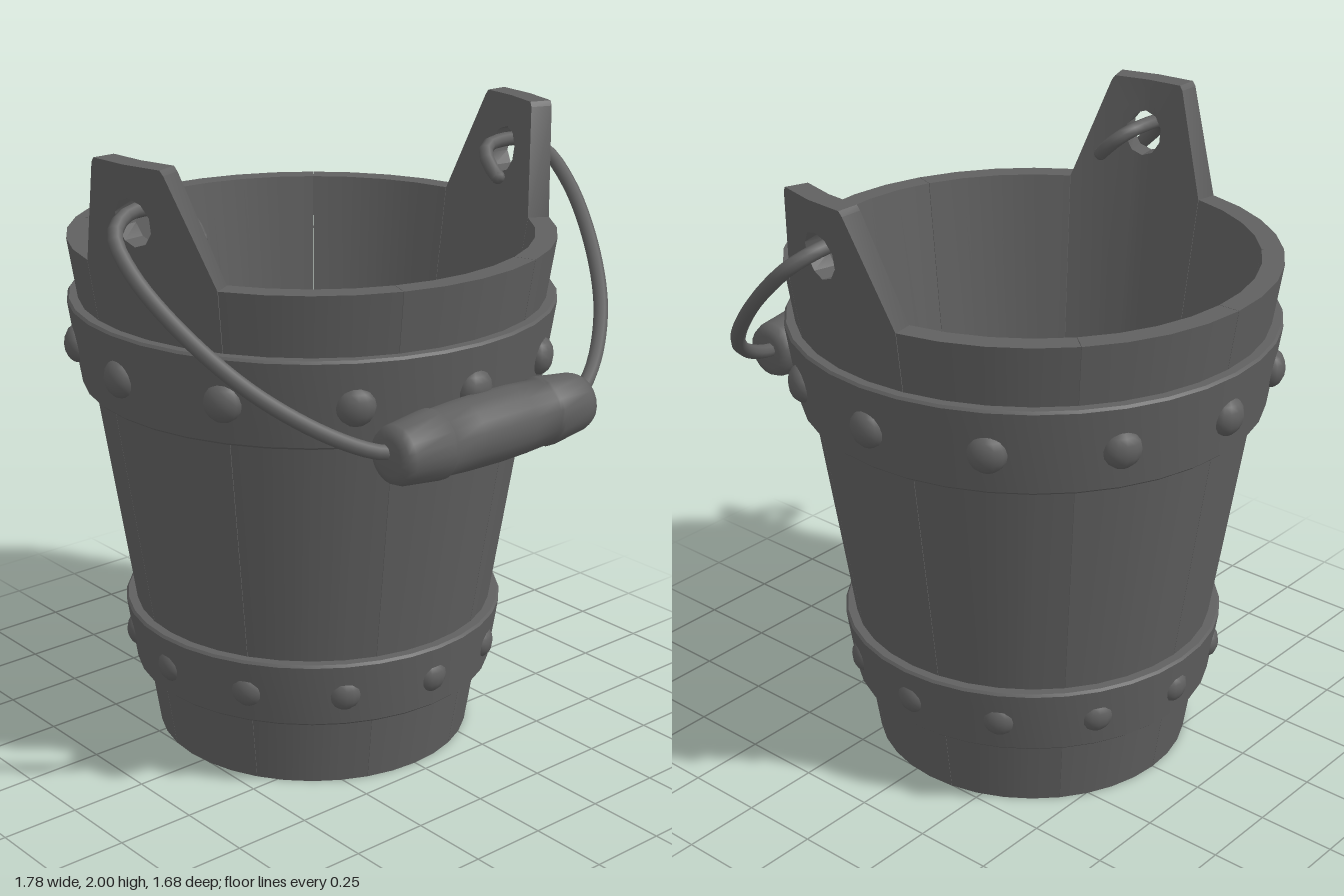
import * as THREE from 'three';
import { mergeGeometries, toCreasedNormals } from 'three/addons/utils/BufferGeometryUtils.js';

const CENTRE_Z = -0.06;
const RIM = 1.66;
const STEP = Math.PI / 18; // one flat facet, a quarter of a stave
const outerRadius = (y) => 0.51 + 0.1506 * y;
const material = new THREE.MeshStandardMaterial({ color: 0x606060 });

function addMesh(parent, name, geometry, crease = 0.6) {
  const mesh = new THREE.Mesh(toCreasedNormals(geometry, crease), material);
  mesh.name = name;
  parent.add(mesh);
  return mesh;
}

// One facet drawn as (angle, height), then wrapped onto the tapered wall
function facet(points, side, middle) {
  const shape = new THREE.Shape(points.map(([u, y]) => new THREE.Vector2(u * side, y)));
  const geometry = new THREE.ExtrudeGeometry(shape, { depth: 1, bevelEnabled: false });
  const pos = geometry.attributes.position;
  for (let i = 0; i < pos.count; i++) {
    const u = pos.getX(i), y = pos.getY(i);
    const thickness = 0.055 + 0.008 * y;
    const flat = Math.cos(STEP / 2) / Math.cos(Math.abs(u) - middle);
    const r = (outerRadius(y) - thickness * (1 - pos.getZ(i))) * flat;
    pos.setXYZ(i, Math.sin(u) * r, y, Math.cos(u) * r);
  }
  return geometry;
}

// Four facets; an ear stave rises to a pierced lug
function staveGeometry(hasEar) {
  const edge = 2 * STEP - 0.001;
  const earSide = 1.985;
  const inner = [[0, 0], [STEP, 0]];
  if (hasEar) {
    inner.push([STEP, earSide], [0.16, 2], [0, 2]);
    for (let i = 0; i <= 5; i++) {
      const a = Math.PI / 2 - (i * Math.PI) / 5;
      inner.push([Math.cos(a) * 0.09, 1.828 + Math.sin(a) * 0.073]);
    }
  } else {
    inner.push([STEP, RIM], [0, RIM]);
  }
  const outer = [[STEP, 0], [edge, 0], [edge, RIM], [STEP, hasEar ? earSide : RIM]];
  return mergeGeometries([1, -1].flatMap((side) => [
    facet(inner, side, STEP / 2),
    facet(outer, side, STEP * 1.5),
  ]));
}

function buildStaves(bucket) {
  for (let i = 0; i < 9; i++) {
    const hasEar = i === 2 || i === 7;
    const stave = addMesh(bucket, hasEar ? 'earStave' : 'stave', staveGeometry(hasEar));
    stave.rotation.y = i * 4 * STEP;
  }
}

// Metal hoop with twelve domed rivets
function buildHoop(bucket, name, y0, y1, rivetY, rivetSize, rivetOut) {
  const hoop = new THREE.Group();
  hoop.name = name;
  const profile = [[y0, -0.01], [y0, 0.028], [y0 + 0.008, 0.036], [y1 - 0.008, 0.036], [y1, 0.028], [y1, -0.01]]
    .map(([y, out]) => new THREE.Vector2(outerRadius(y) + out, y));
  addMesh(hoop, 'hoopBand', new THREE.LatheGeometry(profile, 36));
  const rivet = new THREE.SphereGeometry(rivetSize, 12, 8);
  rivet.scale(1, 1, 0.7);
  for (let i = 0; i < 12; i++) {
    const a = (i * Math.PI) / 6;
    const r = outerRadius(rivetY) + rivetOut;
    const mesh = addMesh(hoop, 'rivet', rivet, 1.2);
    mesh.position.set(Math.sin(a) * r, rivetY, Math.cos(a) * r);
    mesh.rotation.y = a;
  }
  bucket.add(hoop);
}

// Bent wire hooked through both ears, lying in a tilted plane, with a turned grip
function buildHandle(model) {
  const handle = new THREE.Group();
  handle.name = 'handle';
  const gripY = 1.219, gripZ = 0.735;
  const path = [[0.34, 1.222], [0.42, 1.24], [0.55, 1.305], [0.7, 1.425], [0.812, 1.58], [0.864, 1.72],
    [0.853, 1.81], [0.785, 1.85], [0.7, 1.857], [0.62, 1.846], [0.59, 1.81], [0.592, 1.768]];
  for (const side of [1, -1]) {
    const points = path.map(([x, y]) => new THREE.Vector3(x * side, y, gripZ - (y - gripY) * 1.06));
    const curve = new THREE.CatmullRomCurve3(points);
    addMesh(handle, 'handleWire', new THREE.TubeGeometry(curve, 40, 0.023, 8), 1.2);
    const tip = addMesh(handle, 'wireTip', new THREE.SphereGeometry(0.023, 8, 6), 1.2);
    tip.position.copy(points[points.length - 1]);
  }
  const half = [[0, 0.388], [0.055, 0.386], [0.08, 0.378], [0.09, 0.355], [0.106, 0.22],
    [0.105, 0.212], [0.1, 0.208], [0.106, 0.1]];
  const profile = [
    ...half.map(([r, x]) => new THREE.Vector2(r, -x)),
    new THREE.Vector2(0.108, 0),
    ...half.slice().reverse().map(([r, x]) => new THREE.Vector2(r, x)),
  ];
  const grip = addMesh(handle, 'handleGrip', new THREE.LatheGeometry(profile, 20), 1.1);
  grip.rotation.z = Math.PI / 2;
  grip.position.set(0, gripY, gripZ);
  model.add(handle);
}

export function createModel() {
  const model = new THREE.Group();
  model.name = 'bucket';
  const body = new THREE.Group();
  body.name = 'bucketBody';
  body.position.z = CENTRE_Z;
  model.add(body);

  buildStaves(body);
  // Floor board set slightly above the foot of the staves
  const floor = addMesh(body, 'floor', new THREE.CylinderGeometry(0.487, 0.467, 0.14, 36));
  floor.position.y = 0.13;
  buildHoop(body, 'upperHoop', 1.19, 1.47, 1.325, 0.06, 0.029);
  buildHoop(body, 'lowerHoop', 0.23, 0.45, 0.338, 0.052, 0.018);
  buildHandle(model);
  return model;
}
